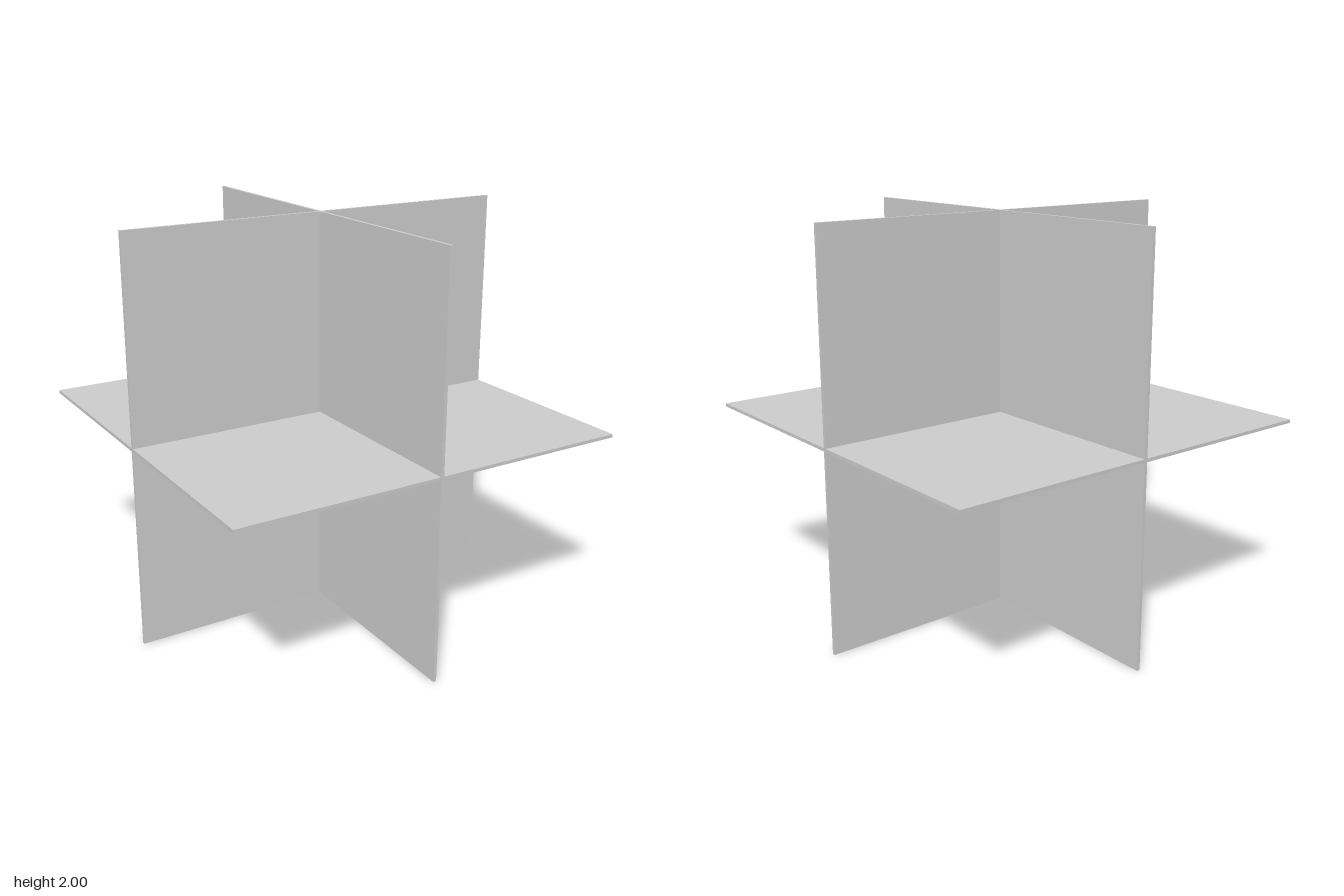
import * as THREE from 'three';

const SIZE = 2;
const THICKNESS = 0.016;

export function createModel() {
  const model = new THREE.Group();
  model.name = 'crossedPanels';
  const material = new THREE.MeshStandardMaterial({ color: 0xcccccc });

  // Three thin square panels, each perpendicular to one axis, crossing at the centre
  const panels = { sidePanel: 'x', horizontalPanel: 'y', frontPanel: 'z' };
  for (const [name, axis] of Object.entries(panels)) {
    const size = new THREE.Vector3(SIZE, SIZE, SIZE);
    size[axis] = THICKNESS;
    const panel = new THREE.Mesh(new THREE.BoxGeometry(size.x, size.y, size.z), material);
    panel.name = name;
    panel.position.y = SIZE / 2;
    model.add(panel);
  }
  return model;
}
